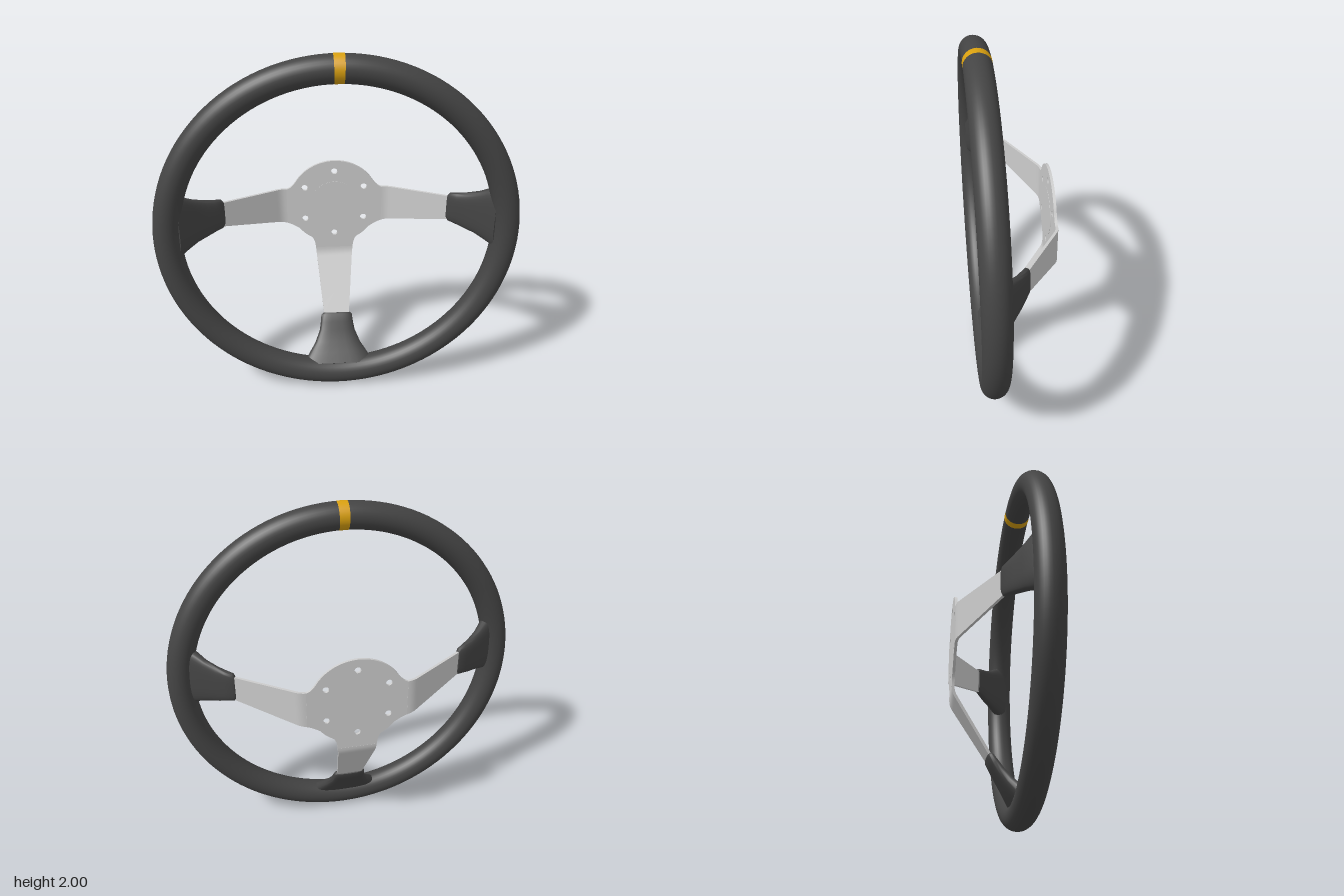
import * as THREE from 'three';
import { toCreasedNormals } from 'three/addons/utils/BufferGeometryUtils.js';

const metal = new THREE.MeshStandardMaterial({ color: 0xcccccc });
const leather = new THREE.MeshStandardMaterial({ color: 0x444444 });
const yellow = new THREE.MeshStandardMaterial({ color: 0xd9a010 });

// Cross-sections in the unit square: a sheet and a soft pad
const sheet = [[1, -1], [1, 1], [-1, 1], [-1, -1]];
const pad = Array.from({ length: 32 }, (_, i) => {
  const a = (i / 32) * Math.PI * 2;
  const soft = (v) => Math.sign(v) * Math.pow(Math.abs(v), 0.65);
  return [soft(Math.cos(a)), soft(Math.sin(a))];
});

// Lofts a section along stations of [u, z, low edge, high edge, thickness]
function loft(stations, section, crease) {
  const pos = [], index = [], n = section.length, last = stations.length - 1;
  stations.forEach(([u, z, lo, hi, t], i) => {
    const a = stations[Math.max(i - 1, 0)], b = stations[Math.min(i + 1, last)];
    const len = Math.hypot(b[0] - a[0], b[1] - a[1]);
    const nu = -(b[1] - a[1]) / len, nz = (b[0] - a[0]) / len;
    for (const [v, w] of section) {
      pos.push(u + nu * w * t / 2, (lo + hi) / 2 + v * (hi - lo) / 2, z + nz * w * t / 2);
    }
  });
  for (let i = 0; i < last; i++) {
    for (let j = 0; j < n; j++) {
      const k = (j + 1) % n, p = i * n, q = p + n;
      index.push(p + j, p + k, q + k, p + j, q + k, q + j);
    }
  }
  for (let j = 1; j < n - 1; j++) {
    index.push(0, j + 1, j, last * n, last * n + j, last * n + j + 1);
  }
  const g = new THREE.BufferGeometry();
  g.setAttribute('position', new THREE.Float32BufferAttribute(pos, 3));
  g.setIndex(index);
  return toCreasedNormals(g, crease);
}

// Stations of the bent sheet: flat, curved, then straight toward the rim
const bend = [[0.28, -0.2225], [0.295, -0.2215], [0.31, -0.218], [0.325, -0.212],
  [0.34, -0.203], [0.64, -0.018], [0.76, 0.056]];
const lerp = THREE.MathUtils.lerp;
const spokeStations = (lo0, hi0, lo1, hi1) => bend.map(([u, z]) => {
  const f = (u - 0.28) / 0.36;
  return [u, z, lerp(lo0, lo1, f), lerp(hi0, hi1, f), 0.015];
});

// Stations of the flared sleeve
const sleeve = [[0.632, -0.022, 0.03], [0.642, -0.016, 0.042], [0.68, 0.008, 0.05],
  [0.72, 0.033, 0.055], [0.78, 0.075, 0.062], [0.83, 0.115, 0.08], [0.88, 0.16, 0.09]];
const sleeveStations = (low, high) =>
  sleeve.map(([u, z, t], i) => [u, z, low[i], high[i], t]);

const sideSpoke = spokeStations(-0.105, 0.113, -0.01, 0.135);
const sideGrip = sleeveStations(
  [0, -0.017, -0.026, -0.038, -0.054, -0.075, -0.1],
  [0.14, 0.155, 0.164, 0.176, 0.203, 0.238, 0.27]);
const lowSpoke = spokeStations(-0.112, 0.112, -0.075, 0.075);
const flare = [0.08, 0.093, 0.098, 0.106, 0.135, 0.175, 0.215];
const lowGrip = sleeveStations(flare.map((v) => -v), flare);
const flip = (st) => st.map(([u, z, lo, hi, t]) => [u, z, -hi, -lo, t]);

// Flat centre plate with six bolt holes
function hubGeometry() {
  const s = new THREE.Shape(), r = 0.265, cy = 0.02;
  const rad = THREE.MathUtils.degToRad;
  const on = (deg) => [r * Math.cos(rad(deg)), cy + r * Math.sin(rad(deg))];
  const arc = (a, b) => s.absarc(0, cy, r, rad(a), rad(b), false);
  s.moveTo(0.28, -0.105);
  s.lineTo(0.28, 0.113);
  s.quadraticCurveTo(0.25, 0.118, ...on(35));
  arc(35, 145);
  s.quadraticCurveTo(-0.25, 0.118, -0.28, 0.113);
  s.lineTo(-0.28, -0.105);
  s.quadraticCurveTo(-0.25, -0.115, ...on(218));
  arc(218, 240);
  s.quadraticCurveTo(-0.115, -0.235, -0.112, -0.28);
  s.lineTo(0.112, -0.28);
  s.quadraticCurveTo(0.115, -0.235, ...on(300));
  arc(300, 322);
  s.quadraticCurveTo(0.25, -0.115, 0.28, -0.105);
  for (let i = 0; i < 6; i++) {
    const a = Math.PI / 2 + i * Math.PI / 3;
    const hole = new THREE.Path();
    hole.absarc(0.2 * Math.cos(a), cy + 0.2 * Math.sin(a), 0.018, 0, Math.PI * 2, true);
    s.holes.push(hole);
  }
  const g = new THREE.ExtrudeGeometry(s, { depth: 0.015, bevelEnabled: false, curveSegments: 32 });
  g.translate(0, 0, -0.23);
  return toCreasedNormals(g, 0.6);
}

export function createModel() {
  const group = new THREE.Group();
  group.name = 'steeringWheel';
  const wheel = new THREE.Group();
  wheel.name = 'wheel';
  wheel.position.y = 1;
  group.add(wheel);
  const add = (name, geometry, material, parent = wheel) => {
    const m = new THREE.Mesh(geometry, material);
    m.name = name;
    parent.add(m);
    return m;
  };

  // Rim and its top centre marker
  add('rim', new THREE.TorusGeometry(0.925, 0.0745, 32, 128), leather).position.z = 0.155;
  const arc = 0.058;
  const marker = add('topMarker', new THREE.TorusGeometry(0.925, 0.0755, 32, 6, arc), yellow);
  marker.position.z = 0.155;
  marker.rotation.z = Math.PI / 2 - arc / 2;

  // Centre plate with a shallow raised disc
  add('hubPlate', hubGeometry(), metal);
  const disc = add('hubDisc', new THREE.CylinderGeometry(0.135, 0.135, 0.004, 48), metal);
  disc.rotation.x = Math.PI / 2;
  disc.position.set(0, 0.02, -0.2155);

  // Three bent spokes with flared sleeves
  const arms = [
    ['left', 0, sideSpoke, sideGrip],
    ['right', Math.PI, flip(sideSpoke), flip(sideGrip)],
    ['lower', -Math.PI / 2, lowSpoke, lowGrip],
  ];
  for (const [side, angle, spoke, grip] of arms) {
    const arm = new THREE.Group();
    arm.name = side + 'Arm';
    arm.rotation.z = angle;
    add(side + 'Spoke', loft(spoke, sheet, 0.6), metal, arm);
    add(side + 'Sleeve', loft(grip, pad, 0.9), leather, arm);
    wheel.add(arm);
  }
  return group;
}
